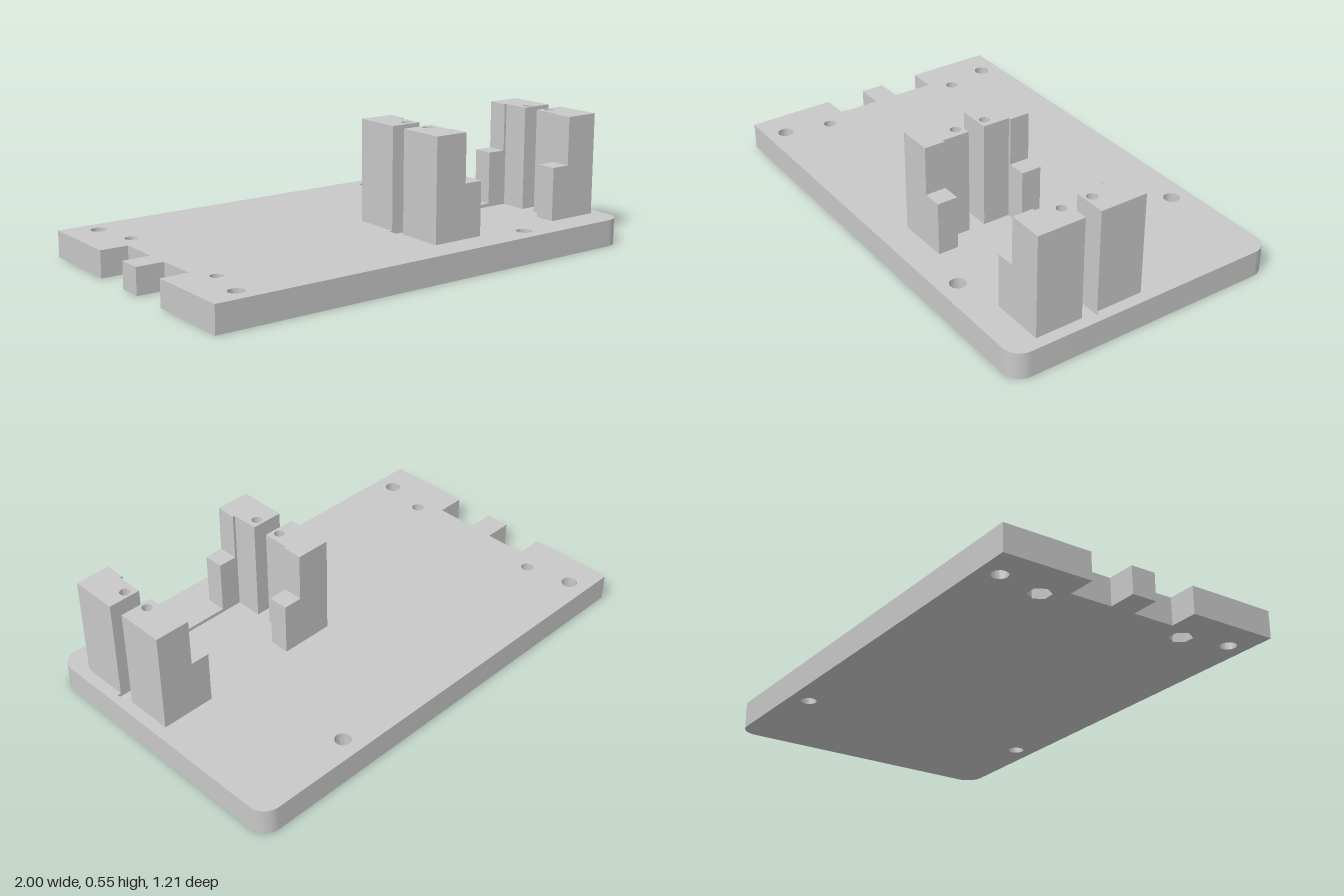
import * as THREE from 'three';
import { toCreasedNormals } from 'three/addons/utils/BufferGeometryUtils.js';

const grey = new THREE.MeshStandardMaterial({ color: 0xc8c8c8 });
grey.name = 'light grey';

// Plate heights, and the centre of the motor mount
const TOP = 0.113, POCKET = 0.098, NUT = 0.055;
const CX = 0.519, CZ = 0.239;

// Counter-clockwise outline points, so that holes cut the right way round
function polygon(pts) {
  const out = pts.map(([x, z]) => new THREE.Vector2(x, z));
  return THREE.ShapeUtils.isClockWise(out) ? out.reverse() : out;
}

function circle(x, z, r, sides = 0) {
  const path = new THREE.Path();
  if (!sides) return path.absarc(x, z, r, 0, Math.PI * 2, true);
  const pts = [];
  for (let i = 0; i < sides; i++) {
    const a = (i / sides) * Math.PI * 2;
    pts.push(new THREE.Vector2(x + r * Math.cos(a), z + r * Math.sin(a)));
  }
  path.setFromPoints(pts);
  path.closePath();
  return path;
}

// Extrudes a plan drawn in x and z between two heights
function slab(name, shape, bottom, top) {
  let geo = new THREE.ExtrudeGeometry(shape, { depth: top - bottom, bevelEnabled: false, curveSegments: 16 });
  geo.rotateX(Math.PI / 2);
  geo.translate(0, top, 0);
  geo = toCreasedNormals(geo, 0.5);
  const mesh = new THREE.Mesh(geo, grey);
  mesh.name = name;
  return mesh;
}

// Plate outline: two notches at one end, rounded corners at the other
function plateShape(nutSides, nutRadius) {
  const w = 0.607, r = 0.075, s = new THREE.Shape();
  s.moveTo(-1, -w);
  s.lineTo(1 - r, -w);
  s.absarc(1 - r, -w + r, r, -Math.PI / 2, 0, false);
  s.lineTo(1, w - r);
  s.absarc(1 - r, w - r, r, 0, Math.PI / 2, false);
  s.lineTo(-1, w);
  for (const [a, b] of [[0.23, 0.05], [-0.055, -0.235]]) {
    s.lineTo(-1, a);
    s.lineTo(-0.88, a);
    s.lineTo(-0.88, b);
    s.lineTo(-1, b);
  }
  s.closePath();
  for (const side of [-1, 1]) {
    s.holes.push(circle(-0.86, side * 0.523, 0.033));
    s.holes.push(circle(0.518, side * 0.523, 0.033));
    s.holes.push(circle(-0.818, side * 0.325, nutRadius, nutSides));
  }
  return s;
}

export function createModel() {
  const model = new THREE.Group();
  model.name = 'motorMountPlate';

  // Base plate: nut recesses below, screw holes through, shallow pocket on top
  const plate = new THREE.Group();
  plate.name = 'basePlate';
  const topShape = plateShape(0, 0.026);
  const pocket = new THREE.Path();
  pocket.setFromPoints(polygon([
    [0.226, 0.087], [0.812, 0.087], [0.812, 0.205], [0.965, 0.205], [0.965, 0.274], [0.812, 0.274],
    [0.812, 0.391], [0.226, 0.391], [0.226, 0.274], [0.072, 0.274], [0.072, 0.205], [0.226, 0.205],
  ]));
  pocket.closePath();
  topShape.holes.push(pocket);
  plate.add(
    slab('plateNutLayer', plateShape(6, 0.046), 0, NUT),
    slab('plateCore', plateShape(0, 0.026), NUT, POCKET),
    slab('platePocketLayer', topShape, POCKET, TOP),
  );
  model.add(plate);

  // Four mirrored posts, each with a screw hole and a lower step
  for (const sx of [-1, 1]) {
    for (const sz of [-1, 1]) {
      const place = ([x, z]) => [CX + sx * x, CZ + sz * z];
      const post = new THREE.Group();
      post.name = (sx < 0 ? 'right' : 'left') + (sz < 0 ? 'Back' : 'Front') + 'Post';
      const tower = new THREE.Shape(polygon([
        [0.431, 0.035], [0.431, 0.239], [0.282, 0.239], [0.282, 0.152], [0.293, 0.152], [0.293, 0.035],
      ].map(place)));
      tower.holes.push(circle(...place([0.336, 0.067]), 0.021));
      const step = new THREE.Shape(polygon([
        [0.282, 0.152], [0.282, 0.239], [0.2, 0.239], [0.2, 0.152],
      ].map(place)));
      post.add(slab('tower', tower, TOP, 0.545), slab('step', step, TOP, 0.34));
      model.add(post);
    }
  }
  return model;
}
